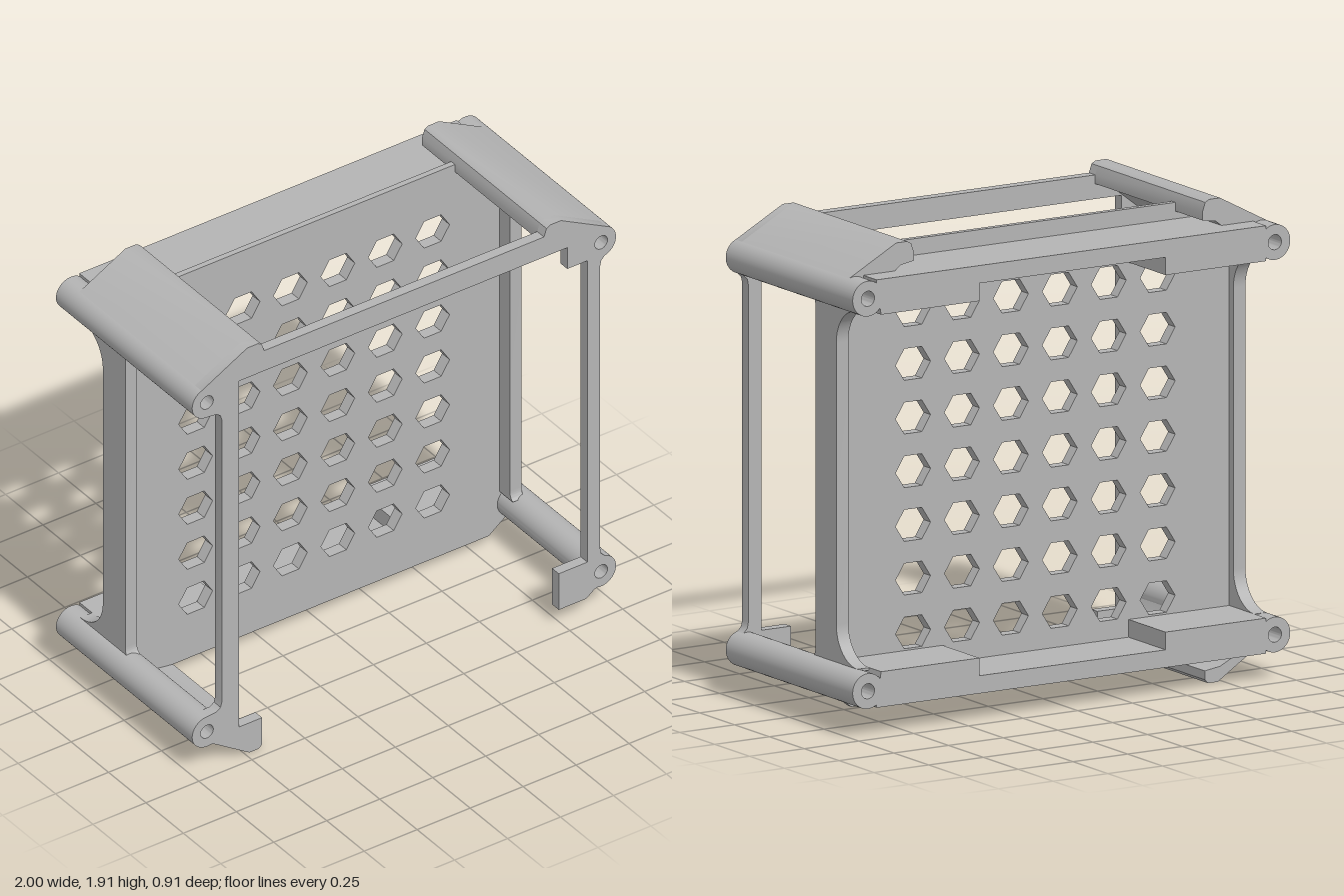
import * as THREE from 'three';
import { toCreasedNormals } from 'three/addons/utils/BufferGeometryUtils.js';

const LOW = 0.18, HIGH = 1.73, POST_X = 0.93;

function outline(points) {
  return new THREE.Shape(points.map(([x, y]) => new THREE.Vector2(x, y)));
}

function circleHole(x, y, r) {
  const p = new THREE.Path();
  p.absarc(x, y, r, 0, Math.PI * 2, true);
  return p;
}

function hexHole(x, y, r) {
  const pts = [];
  for (let i = 0; i < 6; i++) {
    const a = -i * Math.PI / 3;
    pts.push(new THREE.Vector2(x + r * Math.cos(a), y + r * 0.9 * Math.sin(a)));
  }
  return new THREE.Path(pts);
}

export function createModel() {
  const grey = new THREE.MeshStandardMaterial({ color: 0xb4b4b4 });
  grey.name = 'plainGrey';
  const model = new THREE.Group();
  model.name = 'openCage';

  function add(name, geometry) {
    const mesh = new THREE.Mesh(geometry, grey);
    mesh.name = name;
    model.add(mesh);
  }
  // Extrudes an x-y shape between two depths
  function slab(name, shape, z0, z1) {
    const g = new THREE.ExtrudeGeometry(shape, { depth: z1 - z0, bevelEnabled: false, curveSegments: 24 });
    g.translate(0, 0, z0);
    add(name, toCreasedNormals(g, 0.6));
  }

  // Hollow corner posts running front to back
  for (const x of [-POST_X, POST_X]) {
    for (const y of [LOW, HIGH]) {
      const ring = new THREE.Shape();
      ring.absarc(x, y, 0.07, 0, Math.PI * 2, false);
      ring.holes.push(circleHole(x, y, 0.03));
      slab('cornerPost', ring, -0.455, 0.455);
    }
  }

  // Thin front frame, open along the bottom between two hooked feet
  const frame = outline([
    [-0.86, 0.29], [-0.86, 1.62], [-0.866, 1.642], [-0.885, 1.656], [-0.93, 1.66], [-0.98, 1.682],
    [-1, 1.73], [-0.965, 1.79], [-0.74, 1.91], [-0.69, 1.91], [-0.672, 1.9], [-0.66, 1.865],
    [0.66, 1.865], [0.672, 1.9], [0.69, 1.91], [0.74, 1.91], [0.965, 1.79], [1, 1.73],
    [0.98, 1.682], [0.945, 1.66], [0.93, 1.645], [0.925, 1.62], [0.925, 0.29], [0.93, 0.265],
    [0.945, 0.25], [0.98, 0.228], [1, 0.18], [0.965, 0.12], [0.9, 0.11], [0.86, 0.08],
    [0.73, 0.08], [0.73, 0.25], [0.865, 0.25], [0.865, 1.67], [0.77, 1.67], [0.77, 1.77],
    [-0.78, 1.77], [-0.78, 0.14], [-0.67, 0.14], [-0.67, 0.015], [-0.685, 0], [-0.73, 0],
    [-0.9, 0.11], [-0.965, 0.12], [-1, 0.18], [-0.98, 0.228], [-0.93, 0.25], [-0.885, 0.254],
    [-0.866, 0.268],
  ]);
  for (const x of [-POST_X, POST_X]) {
    for (const y of [LOW, HIGH]) frame.holes.push(circleHole(x, y, 0.06));
  }
  slab('frontFrame', frame, 0.41, 0.455);

  // Sloped rails beside the two upper posts
  for (const s of [-1, 1]) {
    slab('upperRail', outline([
      [0.965, 1.79], [0.74, 1.91], [0.69, 1.91], [0.672, 1.9], [0.66, 1.865],
      [0.66, 1.83], [0.72, 1.82], [0.8, 1.76], [0.865, 1.71], [0.885, 1.775],
    ].map(([x, y]) => [s * x, y])), -0.36, 0.41);
  }
  // Trough-shaped rail beside one lower post
  slab('lowerRail', outline([
    [-0.965, 0.12], [-0.9, 0.11], [-0.73, 0], [-0.685, 0], [-0.67, 0.015], [-0.67, 0.05],
    [-0.74, 0.06], [-0.8, 0.09], [-0.85, 0.14], [-0.87, 0.2], [-0.89, 0.135],
  ]), -0.36, 0.41);

  // Back panel with its grid of hexagonal holes
  const lip = outline([
    [-0.9, 0.15], [-0.73, 0.05], [0.82, 0.05], [0.9, 0.11], [0.9, 1.8],
    [0.66, 1.865], [-0.66, 1.865], [-0.9, 1.8],
  ]);
  const backing = outline([[-0.9, 0.15], [0.88, 0.15], [0.88, 1.76], [-0.9, 1.76]]);
  for (let i = 0; i < 6; i++) {
    for (let j = 0; j < 7; j++) {
      const x = -0.563 + i * 0.2236, y = 0.32 + j * 0.212;
      lip.holes.push(hexHole(x, y, 0.08));
      backing.holes.push(hexHole(x, y, 0.08));
    }
  }
  slab('hexPanel', lip, -0.165, -0.14);
  slab('hexPanelBacking', backing, -0.19, -0.165);

  // Rear shelves, thicker at both ends
  for (const top of [false, true]) {
    const pts = [
      [-0.93, 0.11], [0.93, 0.11], [0.93, 0.13], [0.87, 0.25], [0.42, 0.25],
      [0.42, 0.18], [-0.43, 0.18], [-0.43, 0.25], [-0.89, 0.25], [-0.93, 0.13],
    ].map(([x, y]) => [x, top ? LOW + HIGH - y : y]);
    // Stop short of the post bores
    const shelf = pts.map(([x, y]) => [Math.max(-0.89, Math.min(0.89, x)), y]);
    slab(top ? 'upperShelf' : 'lowerShelf', outline(shelf), -0.455, -0.165);
  }

  // Side walls flaring back into the posts
  const wall = new THREE.Shape();
  wall.moveTo(-0.05, 0.24);
  wall.quadraticCurveTo(-0.07, 0.25, -0.07, 0.28);
  wall.lineTo(-0.07, 1.63);
  wall.quadraticCurveTo(-0.07, 1.66, -0.05, 1.67);
  wall.lineTo(-0.37, 1.67);
  wall.lineTo(-0.37, 1.66);
  wall.absarc(-0.37, 1.51, 0.15, Math.PI / 2, 0, true);
  wall.lineTo(-0.22, 0.4);
  wall.absarc(-0.37, 0.4, 0.15, 0, -Math.PI / 2, true);
  wall.lineTo(-0.37, 0.24);
  for (const [name, outer] of [['rightWall', -0.89], ['leftWall', 0.925]]) {
    const g = new THREE.ExtrudeGeometry(wall, { depth: 0.055, bevelEnabled: false, curveSegments: 12 });
    g.rotateY(-Math.PI / 2);
    g.translate(outer, 0, 0);
    add(name, toCreasedNormals(g, 0.6));
  }

  return model;
}
